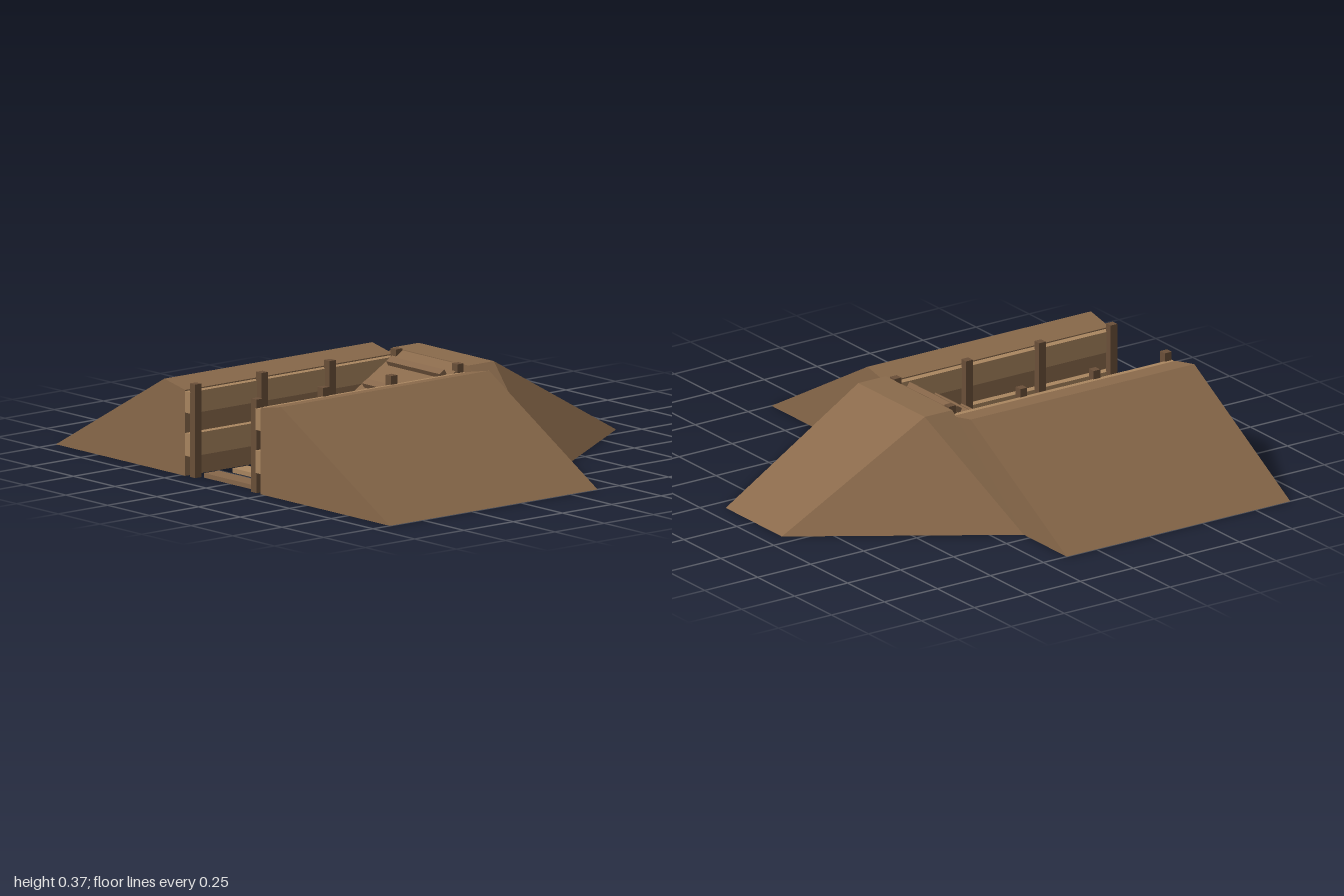
import * as THREE from 'three';

const mat = (name, color) => Object.assign(new THREE.MeshStandardMaterial({ color }), { name });

// Flat-faced mesh from outward-facing polygons, each split as a fan
function faceted(name, faces, material) {
  const pos = [];
  for (const f of faces)
    for (let i = 1; i < f.length - 1; i++) pos.push(...f[0], ...f[i], ...f[i + 1]);
  const g = new THREE.BufferGeometry();
  g.setAttribute('position', new THREE.Float32BufferAttribute(pos, 3));
  g.computeVertexNormals();
  const mesh = new THREE.Mesh(g, material);
  mesh.name = name;
  return mesh;
}

function box(name, size, at, material) {
  const mesh = new THREE.Mesh(new THREE.BoxGeometry(...size), material);
  mesh.position.set(...at);
  mesh.name = name;
  return mesh;
}

// Prism along z from a counter-clockwise profile; ground faces kept apart
function prism(profile, z0, z1) {
  const front = profile.map(([x, y]) => [x, y, z1]);
  const back = profile.map(([x, y]) => [x, y, z0]);
  const faces = [front, [...back].reverse()];
  const ground = [];
  profile.forEach((p, i) => {
    const j = (i + 1) % profile.length;
    const quad = [front[i], back[i], back[j], front[j]];
    (p[1] === 0 && profile[j][1] === 0 ? ground : faces).push(quad);
  });
  return { faces, ground };
}

export function createModel() {
  const model = new THREE.Group();
  model.name = 'trench';
  const dirt = mat('packed dirt', 0x8a6a4b);
  const sod = mat('green underside', 0x5f7841);
  const plank = mat('light plank', 0xaa8660);
  const rungWood = mat('brown plank', 0x87674a);
  const postWood = mat('dark post wood', 0x6b5039);

  const zBack = -0.14, zFront = 0.915, top = 0.365;

  for (const s of [1, -1]) {
    const side = s > 0 ? 'left' : 'right';

    // Side embankment with a lip sloping into the trench
    let profile = [[0.225, 0], [1, 0], [0.35, top], [0.225, 0.34]];
    if (s < 0) profile = profile.map(([x, y]) => [-x, y]).reverse();
    const { faces, ground } = prism(profile, zBack, zFront);
    model.add(faceted(side + 'Embankment', faces, dirt));
    model.add(faceted(side + 'EmbankmentUnderside', ground, sod));

    // Two long boards lining the wall
    for (const [y, h] of [[0.293, 0.085], [0.125, 0.09]])
      model.add(box(side + 'WallBoard', [0.03, h, zFront - zBack], [s * 0.21, y, (zFront + zBack) / 2], plank));

    // Posts holding the boards
    for (const z of [0.897, 0.56, 0.215, -0.122])
      model.add(box(side + 'Post', [0.032, 0.37, 0.032], [s * 0.184, 0.185, z], postWood));
  }

  // Rear mound closing the trench
  const at = (x, y, z) => [x, y, z];
  const zRidge = -0.27, zToe = -0.92;
  const fl = at(-0.225, top, zBack), fr = at(0.225, top, zBack);
  const rl = at(-0.225, top, zRidge), rr = at(0.225, top, zRidge);
  const bl = at(-0.71, 0, zBack), br = at(0.71, 0, zBack);
  const tl = at(-0.19, 0, zToe), tr = at(0.19, 0, zToe);
  model.add(faceted('rearMound', [
    [bl, br, fr, fl], [fl, fr, rr, rl], [rr, tr, tl, rl],
    [fr, br, rr], [br, tr, rr],
    [fl, rl, bl], [bl, rl, tl],
  ], dirt));
  model.add(faceted('rearMoundUnderside', [[bl, tl, tr, br]], sod));

  // Ramp down into the trench
  const w = 0.19, zEnd = 0.48, rise = 0.362;
  const a = at(-w, rise, zBack), b = at(w, rise, zBack);
  const c = at(w, 0, zEnd), d = at(-w, 0, zEnd);
  const e = at(-w, 0, zBack), f = at(w, 0, zBack);
  model.add(faceted('ramp', [[a, d, c, b], [b, c, f], [a, e, d], [d, e, f, c]], dirt));

  // Rungs across the ramp, tilted with its slope
  const slope = Math.atan2(rise, zEnd - zBack);
  for (let i = 0; i < 5; i++) {
    const z = -0.068 + i * 0.122;
    const y = rise * (zEnd - z) / (zEnd - zBack) + 0.01;
    const rung = box('rampRung', [0.32, 0.025, 0.03], [0, y, z], rungWood);
    rung.rotation.x = slope;
    model.add(rung);
  }

  // Floor planks
  [0.553, 0.698, 0.843].forEach((z, i) =>
    model.add(box('floorPlank', [0.305, 0.018, 0.075], [0, 0.009, z], i < 2 ? plank : rungWood)));

  return model;
}
